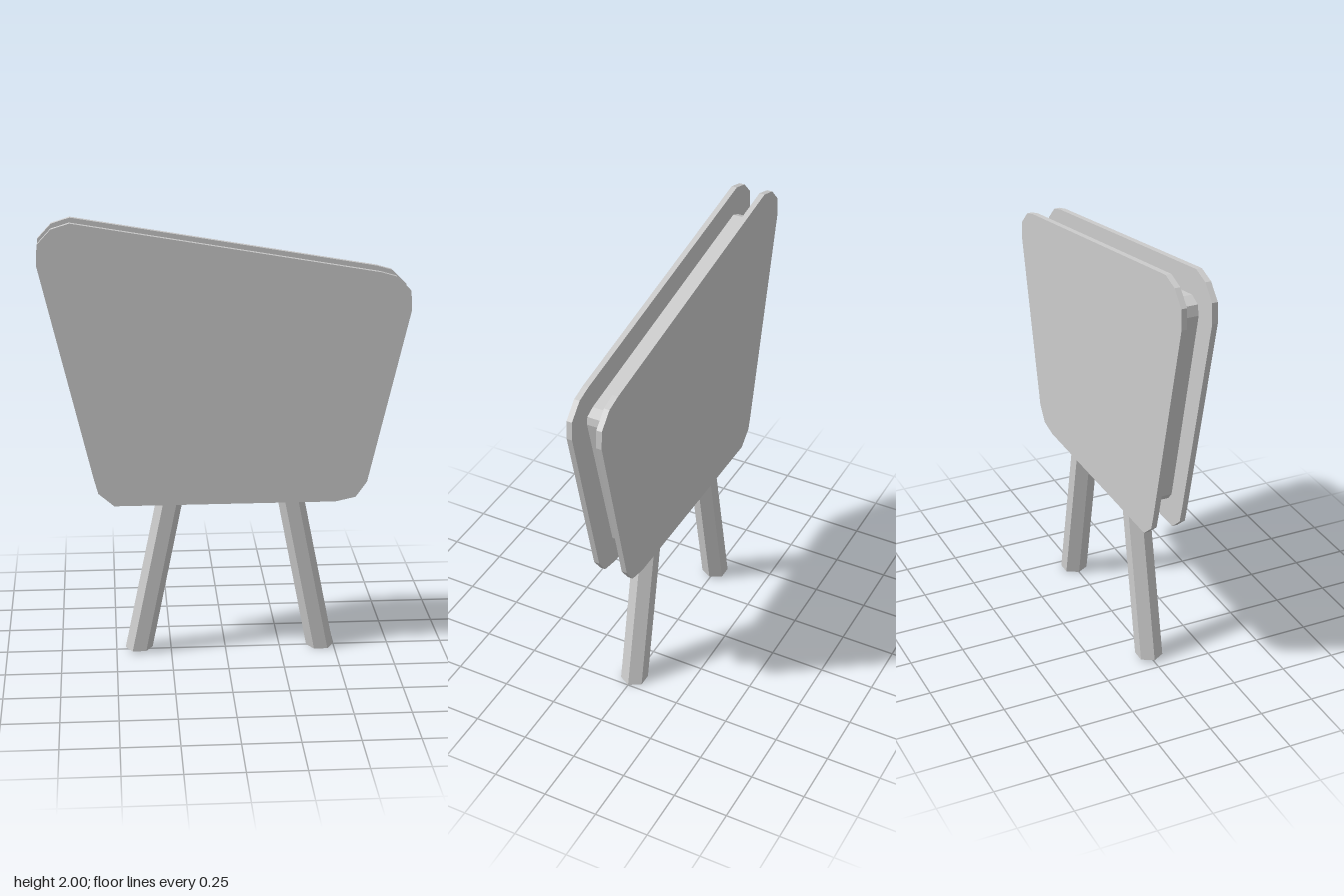
import * as THREE from 'three';

const material = new THREE.MeshStandardMaterial({ color: 0xcccccc, flatShading: true });

// Extrudes an outline between two depths
function slab(name, points, zBack, zFront) {
  const shape = new THREE.Shape(points.map(([x, y]) => new THREE.Vector2(x, y)));
  const geometry = new THREE.ExtrudeGeometry(shape, { depth: zFront - zBack, bevelEnabled: false });
  geometry.translate(0, 0, zBack);
  const mesh = new THREE.Mesh(geometry, material);
  mesh.name = name;
  return mesh;
}

// Six-sided leg, sheared so that its ends stay level
function leg(name, footX, topX, footY) {
  const topY = 0.87, height = topY - footY;
  const geometry = new THREE.CylinderGeometry(0.06, 0.062, height, 6, 1, false, Math.PI / 6);
  geometry.translate(0, height / 2, 0);
  const pos = geometry.attributes.position;
  for (let i = 0; i < pos.count; i++) {
    const t = pos.getY(i) / height;
    pos.setX(i, pos.getX(i) + footX + (topX - footX) * t);
    pos.setY(i, pos.getY(i) + footY);
  }
  geometry.computeVertexNormals();
  const mesh = new THREE.Mesh(geometry, material);
  mesh.name = name;
  return mesh;
}

export function createModel() {
  const model = new THREE.Group();
  model.name = 'signBoard';

  // Slanted board with chamfered corners, counter-clockwise
  const board = [
    [-0.5, 0.725], [0.49, 0.725], [0.58, 0.745], [0.63, 0.815],
    [0.81, 1.6], [0.805, 1.685], [0.74, 1.75], [0.67, 1.77],
    [-0.67, 2], [-0.75, 1.975], [-0.81, 1.91], [-0.815, 1.82],
    [-0.59, 0.86], [-0.57, 0.785],
  ];
  // Recessed core between the two boards
  const core = [
    [-0.46, 0.845], [0.46, 0.845], [0.51, 0.87],
    [0.69, 1.6], [0.685, 1.635], [0.64, 1.655],
    [-0.64, 1.878], [-0.69, 1.855], [-0.7, 1.81],
    [-0.49, 0.88],
  ];

  model.add(slab('frontBoard', board, 0.055, 0.08));
  model.add(slab('backBoard', board, -0.08, -0.055));
  model.add(slab('core', core, -0.056, 0.056));

  // Splayed legs
  model.add(leg('rightLeg', -0.397, -0.222, 0.01));
  model.add(leg('leftLeg', 0.437, 0.267, 0));
  return model;
}
